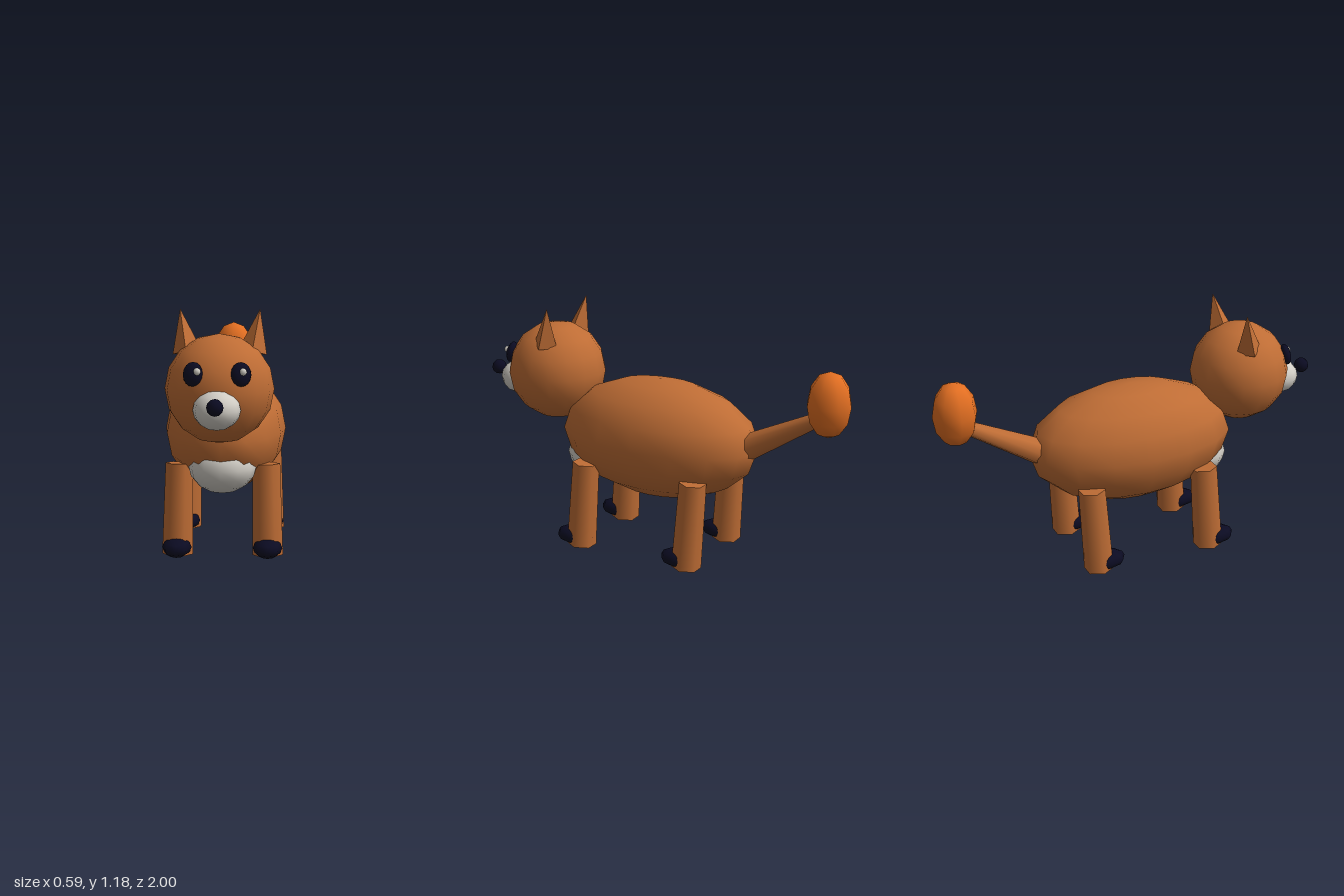
import * as THREE from 'three';

const mat = (name, color) => Object.assign(new THREE.MeshStandardMaterial({ color }), { name });

export function createModel() {
  const fur = mat('brown fur', 0xbf6d35);
  const orange = mat('orange tail tip', 0xe36f22);
  const cream = mat('pale muzzle', 0xd2cec6);
  const dark = mat('dark navy', 0x0b0b22);
  const model = new THREE.Group();
  model.name = 'animal';

  // Smooth ellipsoid from a low-count sphere
  const ellipsoid = (name, material, pos, radii, w = 16, h = 8) => {
    const geo = new THREE.SphereGeometry(1, w, h).scale(...radii);
    const mesh = new THREE.Mesh(geo, material);
    mesh.name = name;
    mesh.position.set(...pos);
    model.add(mesh);
    return mesh;
  };

  // Tapered prism between two points
  const limb = (name, material, from, to, rFrom, rTo, sides, turn = 0) => {
    const a = new THREE.Vector3(...from), b = new THREE.Vector3(...to);
    const axis = b.clone().sub(a);
    const geo = new THREE.CylinderGeometry(rTo, rFrom, axis.length(), sides, 1, false, turn);
    const mesh = new THREE.Mesh(geo, material);
    mesh.name = name;
    mesh.position.copy(a).add(b).multiplyScalar(0.5);
    mesh.quaternion.setFromUnitVectors(new THREE.Vector3(0, 1, 0), axis.normalize());
    model.add(mesh);
    return mesh;
  };

  // Torso and head
  ellipsoid('body', fur, [0, 0.575, 0], [0.296, 0.296, 0.53]);
  ellipsoid('chest', cream, [0, 0.44, 0.35], [0.16, 0.125, 0.16], 12, 8);
  ellipsoid('head', fur, [0, 0.839, 0.597], [0.247, 0.247, 0.247]);
  ellipsoid('muzzle', cream, [0, 0.77, 0.82], [0.105, 0.088, 0.105], 12, 8);
  ellipsoid('nose', dark, [0, 0.8, 0.962], [0.037, 0.038, 0.038], 8, 6);

  for (const [side, s] of [['left', 1], ['right', -1]]) {
    // Eyes, with the highlights both offset the same way
    const eye = ellipsoid(side + 'Eye', dark, [s * 0.105, 0.925, 0.802], [0.046, 0.054, 0.026], 12, 8);
    eye.rotation.set(-0.25, s * 0.3, 0);
    ellipsoid(side + 'EyeHighlight', cream, [s * 0.1 + 0.015, 0.938, 0.823], [0.016, 0.017, 0.016], 8, 6);

    // Pointed four-sided ears
    const ear = limb(side + 'Ear', fur, [s * 0.147, 1.0, 0.565], [s * 0.18, 1.19, 0.533], 0.066, 0.001, 4);
    ear.geometry = ear.geometry.toNonIndexed();
    ear.geometry.computeVertexNormals();

    // Six-sided legs with rounded paws
    for (const [end, z] of [['front', 0.332], ['back', -0.268]]) {
      limb(`${end}${side}Leg`, fur, [s * 0.215, 0.012, z], [s * 0.206, 0.447, z - 0.028], 0.073, 0.066, 6, Math.PI / 2);
      ellipsoid(`${end}${side}Paw`, dark, [s * 0.215, 0.053, z + 0.036], [0.07, 0.047, 0.102], 8, 6);
    }
  }

  // Tail with a bushy tip
  limb('tail', fur, [0, 0.58, -0.45], [0, 0.805, -0.86], 0.068, 0.032, 8);
  ellipsoid('tailTip', orange, [0, 0.872, -0.891], [0.109, 0.159, 0.109], 8, 6);

  return model;
}
